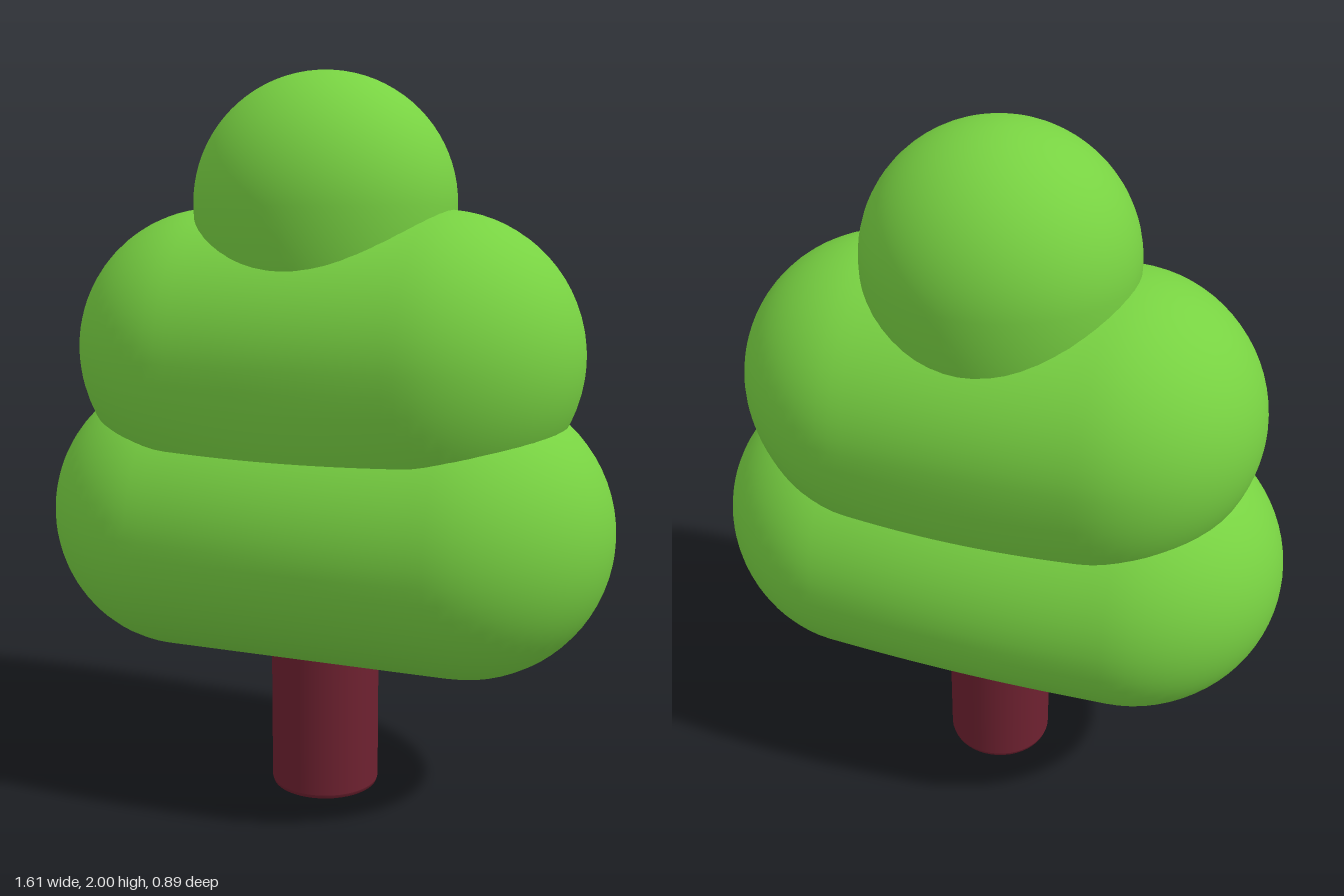
import * as THREE from 'three';
import { mergeVertices } from 'three/addons/utils/BufferGeometryUtils.js';

// Weld seams so that the recomputed normals are smooth all round
function smooth(geo) {
  geo.deleteAttribute('uv');
  geo.deleteAttribute('normal');
  const welded = mergeVertices(geo, 1e-4);
  welded.computeVertexNormals();
  return welded;
}

// Move each vertex by a rule
function reshape(geo, rule) {
  const p = geo.attributes.position;
  const v = new THREE.Vector3();
  for (let i = 0; i < p.count; i++) {
    v.fromBufferAttribute(p, i);
    rule(v);
    p.setXYZ(i, v.x, v.y, v.z);
  }
  return smooth(geo);
}

// Capsule lying along x, swelling in z at its middle;
// lower stretches (or flattens) the middle of the underside
function foliageTier({ half, radius, bulge, lower }) {
  const core = half - radius;
  const profile = [];
  const arc = 18, mid = 20;
  for (let i = 0; i <= arc; i++) {
    const a = (i / arc) * Math.PI / 2;
    profile.push(new THREE.Vector2(radius * Math.sin(a), -core - radius * Math.cos(a)));
  }
  for (let i = 1; i < mid; i++) {
    profile.push(new THREE.Vector2(radius, -core + (2 * core * i) / mid));
  }
  for (let i = 0; i <= arc; i++) {
    const a = (i / arc) * Math.PI / 2;
    profile.push(new THREE.Vector2(radius * Math.cos(a), core + radius * Math.sin(a)));
  }
  const geo = new THREE.LatheGeometry(profile, 56).rotateZ(-Math.PI / 2);
  return reshape(geo, (v) => {
    const centre = (1 - Math.min(1, (v.x / half) ** 2)) ** 2;
    v.z *= 1 + bulge * centre;
    if (v.y < 0) v.y *= 1 + lower * centre;
  });
}

export function createModel() {
  const leafGreen = new THREE.MeshStandardMaterial({ color: 0x78d242 });
  leafGreen.name = 'leafGreen';
  const barkRed = new THREE.MeshStandardMaterial({ color: 0x6e2130 });
  barkRed.name = 'barkRed';

  const tree = new THREE.Group();
  tree.name = 'tree';
  const add = (name, geo, material, y) => {
    const mesh = new THREE.Mesh(geo, material);
    mesh.name = name;
    mesh.position.y = y;
    tree.add(mesh);
  };

  // Trunk with a softened bottom edge
  const trunkProfile = [[0, 0], [0.142, 0], [0.142, 0], [0.15, 0.004], [0.153, 0.014],
    [0.153, 0.014], [0.153, 0.5], [0.153, 0.5], [0, 0.5]];
  add('trunk', new THREE.LatheGeometry(
    trunkProfile.map(([x, y]) => new THREE.Vector2(x, y)), 48), barkRed, 0);

  // Two wide foliage tiers
  add('lowerFoliage', foliageTier({ half: 0.805, radius: 0.4, bulge: 0.11, lower: -0.02 }),
    leafGreen, 0.78);
  add('middleFoliage', foliageTier({ half: 0.71, radius: 0.39, bulge: 0.055, lower: 0.33 }),
    leafGreen, 1.25);

  // Rounded crown, drawn out downwards into the middle tier
  const crown = reshape(new THREE.SphereGeometry(1, 56, 40), (v) => {
    v.set(v.x * 0.357, v.y * (v.y > 0 ? 0.35 : 0.55), v.z * 0.34);
  });
  add('crownFoliage', crown, leafGreen, 1.65);

  return tree;
}
